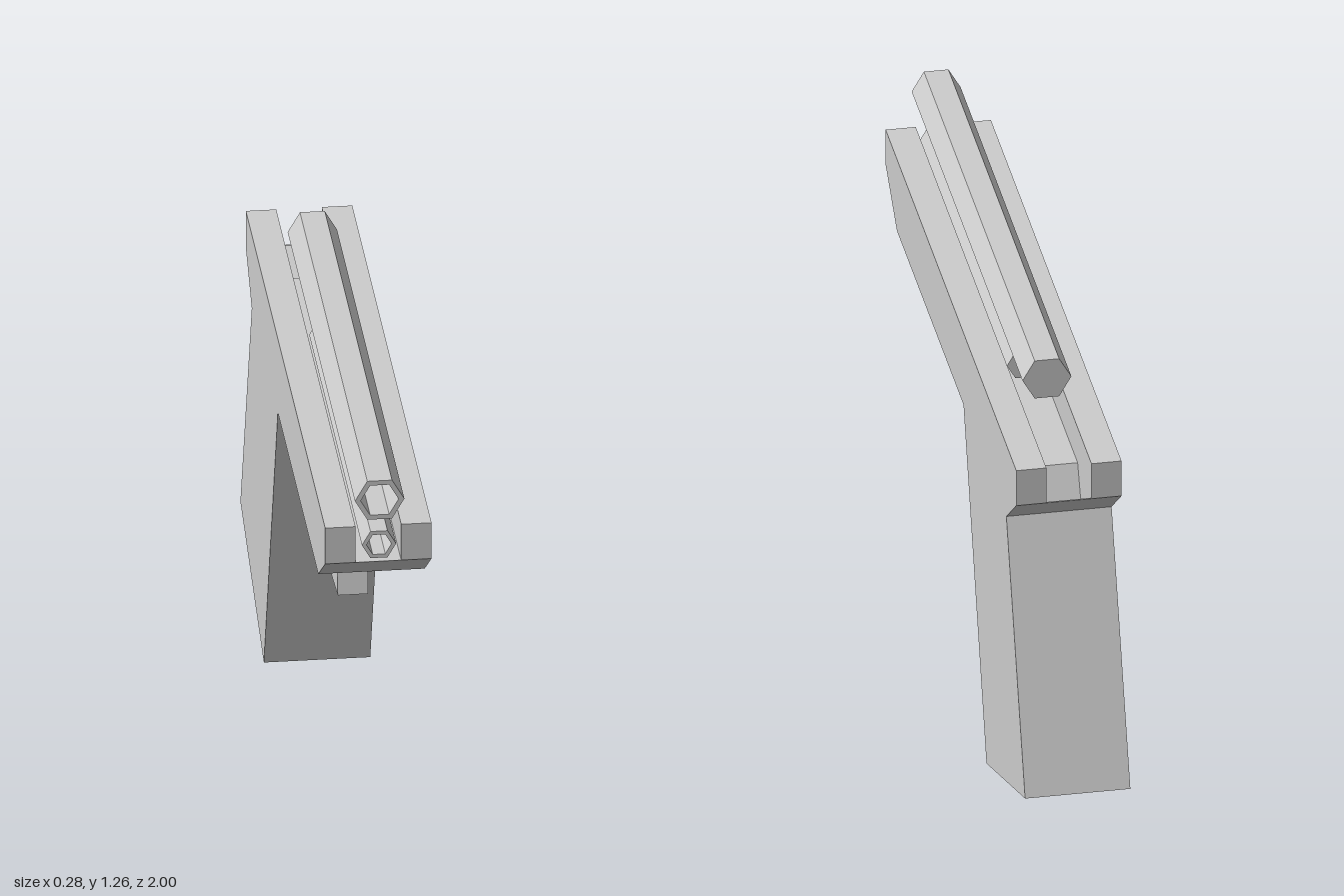
import * as THREE from 'three';

const material = new THREE.MeshStandardMaterial({ color: 0xcccccc, flatShading: true, side: THREE.DoubleSide });

// Side profile of [z, y] points, extruded across x from x0 to x1
function slab(name, points, x0, x1) {
  const shape = new THREE.Shape(points.map(([z, y]) => new THREE.Vector2(z, y)));
  const geometry = new THREE.ExtrudeGeometry(shape, { depth: x1 - x0, bevelEnabled: false });
  geometry.rotateY(-Math.PI / 2).translate(x1, 0, 0);
  const mesh = new THREE.Mesh(geometry, material);
  mesh.name = name;
  return mesh;
}

function hexagon(radius, Type) {
  const points = [];
  for (let i = 0; i < 6; i++) {
    const a = (i * Math.PI) / 3;
    points.push(new THREE.Vector2(Math.cos(a) * radius, Math.sin(a) * radius));
  }
  return new Type(points);
}

// Six-sided tube along z, open at the front and closed at the back
function hexTube(name, y, back, front, radius, bore) {
  const tube = new THREE.Group();
  tube.name = name;
  const cap = 0.02;
  const ring = hexagon(radius, THREE.Shape);
  ring.holes.push(hexagon(bore, THREE.Path));
  const wall = new THREE.Mesh(
    new THREE.ExtrudeGeometry(ring, { depth: front - back - cap, bevelEnabled: false }), material);
  wall.name = name + 'Wall';
  wall.position.set(0, y, back + cap);
  const end = new THREE.Mesh(
    new THREE.ExtrudeGeometry(hexagon(radius, THREE.Shape), { depth: cap, bevelEnabled: false }), material);
  end.name = name + 'End';
  end.position.set(0, y, back);
  tube.add(wall, end);
  return tube;
}

export function createModel() {
  const model = new THREE.Group();
  model.name = 'pistolFrame';
  const W = 0.14, C = 0.06, G = 0.095;

  // Rails on both sides of the open channel
  const rail = [[0.97, 1.115], [0.97, 1.01], [0.81, 0.9], [-0.735, 0.9], [-0.875, 1.01], [-0.875, 1.115]];
  model.add(slab('leftRail', rail, C, W), slab('rightRail', rail, -W, -C));

  // Channel floor with a sloping rear end
  model.add(slab('channelFloor',
    [[0.97, 1.01], [0.81, 0.9], [-0.735, 0.9], [-0.68, 1.01]], -C, C));

  // Thin sloping plate closing the channel at the back
  model.add(slab('rearPlate',
    [[-0.735, 0.9], [-0.875, 1.01], [-0.87, 1.01], [-0.73, 0.9]], -C, C));

  // Hollow slanted grip, open at the bottom
  const grip = new THREE.Group();
  grip.name = 'grip';
  const side = [[-0.13, 0.9], [-0.455, 0.003], [-1, 0.2], [-0.735, 0.9]];
  grip.add(
    slab('gripLeftWall', side, G, W),
    slab('gripRightWall', side, -W, -G),
    slab('gripFrontWall', [[-0.13, 0.9], [-0.455, 0.003], [-0.493, 0.017], [-0.168, 0.9]], -G, G),
    slab('gripBackWall', [[-0.735, 0.9], [-1, 0.2], [-0.962, 0.186], [-0.697, 0.9]], -G, G));
  model.add(grip);

  // Trigger guard
  model.add(slab('triggerGuard', [
    [0.36, 0.9], [0.36, 0.73], [0.38, 0.615], [-0.065, 0.575], [-0.222, 0.65],
    [-0.195, 0.73], [-0.035, 0.657], [0.275, 0.675], [0.295, 0.9],
  ], -0.04, 0.04));

  // Barrel and the slimmer guide rod beneath it
  model.add(hexTube('barrel', 1.205, -0.565, 1, 0.065, 0.05));
  model.add(hexTube('guideRod', 1.067, -0.24, 0.985, 0.045, 0.033));

  return model;
}
